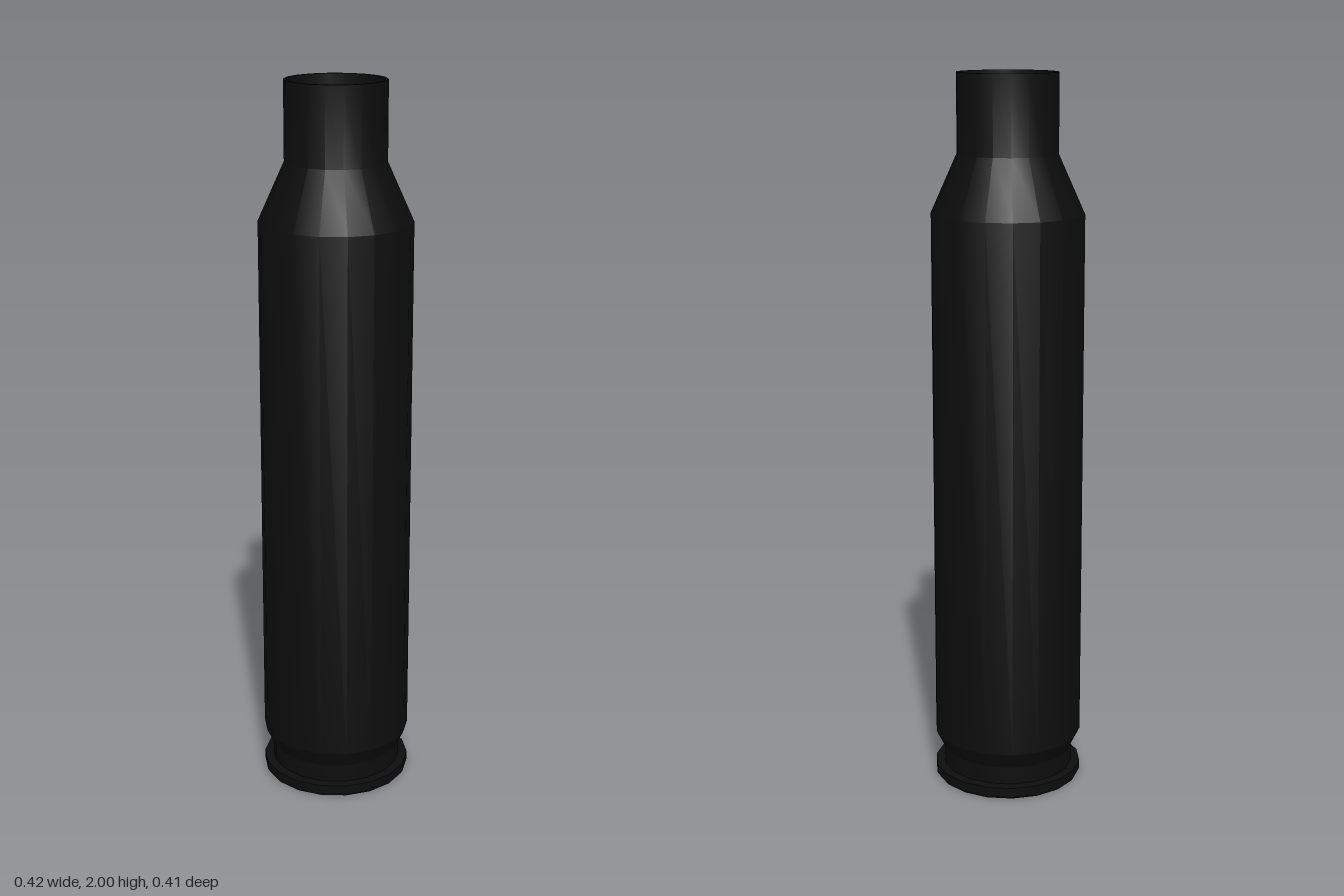
import * as THREE from 'three';
import { toCreasedNormals } from 'three/addons/utils/BufferGeometryUtils.js';

const SIDES = 18;

export function createModel() {
  const model = new THREE.Group();
  model.name = 'cartridgeCase';
  const blackMetal = new THREE.MeshStandardMaterial({ color: 0x0d0d0d });
  blackMetal.name = 'blackMetal';

  // Turns a profile of [radius, height] points; a corner of the ring lies on +x
  function turned(name, profile) {
    const points = profile.map(([r, y]) => new THREE.Vector2(r, y));
    const lathe = new THREE.LatheGeometry(points, SIDES, Math.PI / 2);
    const mesh = new THREE.Mesh(toCreasedNormals(lathe, Math.PI / 7), blackMetal);
    mesh.name = name;
    model.add(mesh);
  }

  // Flat base, rim and extractor groove
  turned('baseAndRim', [[0, 0], [0.205, 0], [0.21, 0.008], [0.21, 0.033], [0.185, 0.035], [0.185, 0.085]]);
  // Taper out of the groove, straight body, shoulder and neck
  turned('body', [[0.185, 0.085], [0.21, 0.135], [0.21, 1.625], [0.138, 1.785], [0.138, 2]]);
  // Lip of the mouth
  turned('mouthLip', [[0.138, 2], [0.13, 2]]);
  // Hollow inside with its floor
  turned('innerWall', [[0.13, 2], [0.13, 1.783], [0.2, 1.62], [0.2, 0.14], [0, 0.14]]);

  return model;
}
